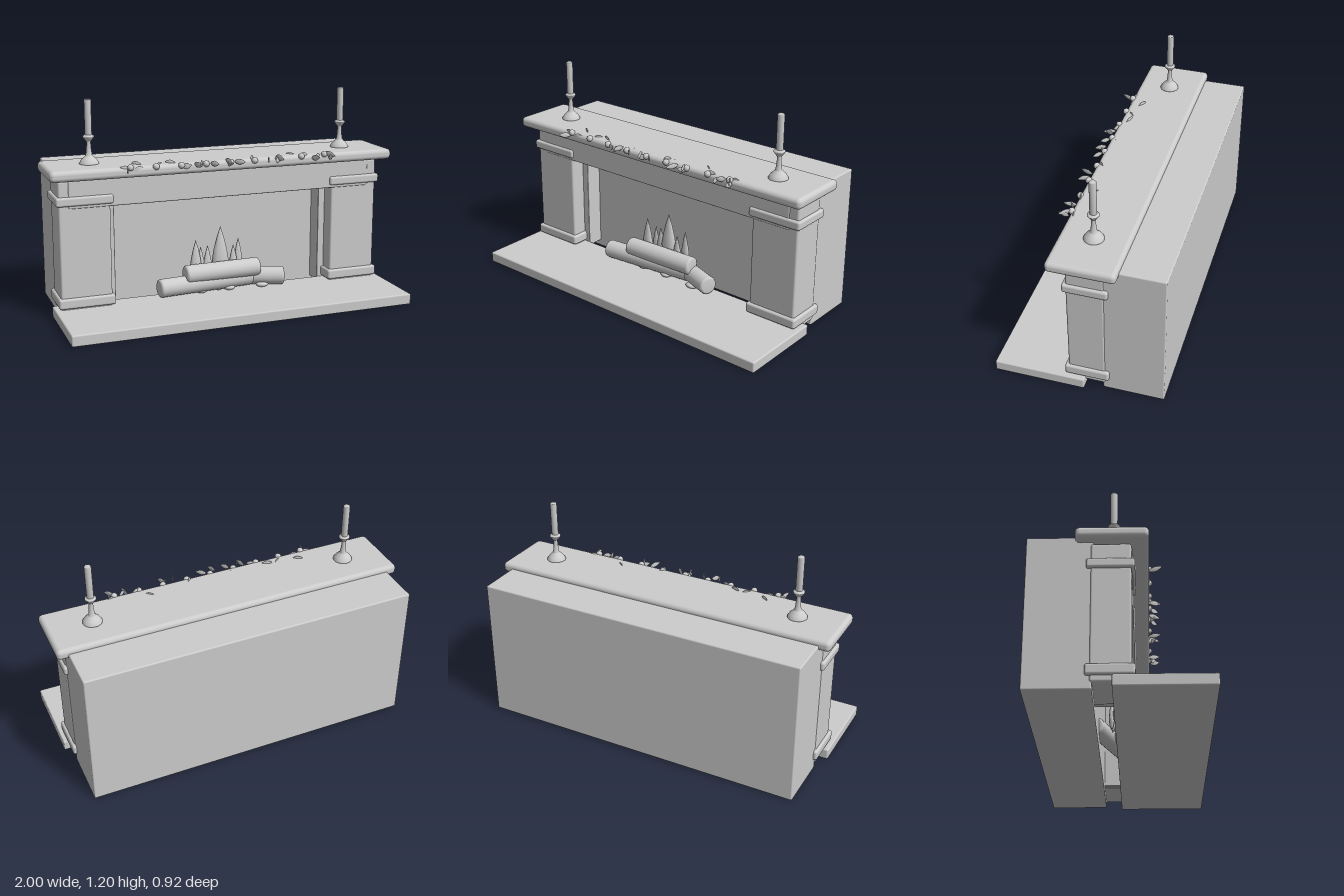
import * as THREE from 'three';
import { RoundedBoxGeometry } from 'three/addons/geometries/RoundedBoxGeometry.js';

export function createModel() {
  const group = new THREE.Group();
  const stone = new THREE.MeshStandardMaterial({ color: 0xcccccc });
  stone.name = 'light grey';

  const add = (name, geometry, x = 0, y = 0, z = 0) => {
    const mesh = new THREE.Mesh(geometry, stone);
    mesh.name = name;
    mesh.position.set(x, y, z);
    group.add(mesh);
    return mesh;
  };
  // Rounded box from its minimum and maximum corners
  const block = (name, [x0, y0, z0], [x1, y1, z1], r) =>
    add(name, new RoundedBoxGeometry(x1 - x0, y1 - y0, z1 - z0, 4, r),
      (x0 + x1) / 2, (y0 + y1) / 2, (z0 + z1) / 2);
  const lathe = (points, segments) =>
    new THREE.LatheGeometry(points.map(([r, y]) => new THREE.Vector2(r, y)), segments);

  // Masonry
  block('hearth', [-0.98, 0, -0.035], [0.98, 0.062, 0.462], 0.008);
  block('chimneyBlock', [-0.94, 0, -0.462], [0.94, 0.816, -0.13], 0.008);
  block('lintel', [-0.89, 0.622, -0.13], [0.89, 0.79, 0.062], 0.008);
  block('mantelShelf', [-1, 0.785, -0.22], [1, 0.845, 0.145], 0.024);

  // Candlestick outline, and the candle it holds
  const stickProfile = [[0, 0.84], [0.054, 0.84], [0.053, 0.85], [0.042, 0.868], [0.024, 0.885],
    [0.018, 0.892], [0.014, 0.92], [0.011, 0.965], [0.016, 0.97], [0.031, 0.99],
    [0.031, 0.996], [0.02, 1.003], [0, 1.003]];

  for (const s of [-1, 1]) {
    const side = s > 0 ? 'left' : 'right';
    const pair = (name, a, b, z0, z1, y0, y1, r) =>
      block(side + name, [Math.min(s * a, s * b), y0, z0], [Math.max(s * a, s * b), y1, z1], r);
    pair('Pillar', 0.66, 0.945, -0.143, 0.058, 0.036, 0.776, 0.012);
    pair('Capital', 0.645, 0.96, -0.165, 0.075, 0.638, 0.689, 0.013);
    pair('Plinth', 0.645, 0.96, -0.165, 0.075, 0.068, 0.126, 0.013);
    pair('Jamb', 0.62, 0.68, -0.14, -0.03, 0.04, 0.64, 0.004);
    add(side + 'Candlestick', lathe(stickProfile, 28), s * 0.75, 0, -0.035);
    add(side + 'Candle', lathe([[0, 0.995], [0.019, 0.995], [0.019, 1.19], [0.015, 1.195], [0, 1.195]], 24),
      s * 0.75, 0, -0.035);
  }

  // Logs, given by length, centre and yaw
  const log = (name, length, r, x, y, z, yaw) => {
    const h = length / 2;
    const geometry = lathe([[0, -h], [r - 0.012, -h], [r - 0.003, -h + 0.005], [r, -h + 0.014],
      [r, h - 0.014], [r - 0.003, h - 0.005], [r - 0.012, h], [0, h]], 24);
    geometry.rotateZ(-Math.PI / 2);
    add(name, geometry, x, y, z).rotation.y = yaw;
  };
  log('leftLowerLog', 0.58, 0.052, 0.1, 0.118, -0.055, -0.35);
  log('rightLowerLog', 0.58, 0.052, -0.1, 0.118, 0.01, 0.1);
  log('upperLog', 0.455, 0.053, -0.003, 0.178, 0.015, 0.04);

  // Flames: tapering, flattened tongues
  const flameProfile = [[0, 0], [0.6, 0.08], [0.95, 0.25], [1, 0.35], [0.8, 0.55], [0.42, 0.8], [0, 1]];
  const flames = [[-0.145, 0.36, 0.035, 0.01], [-0.065, 0.315, 0.028, -0.015], [0.008, 0.425, 0.05, 0],
    [0.082, 0.315, 0.028, 0.015], [0.122, 0.345, 0.028, -0.01], [-0.105, 0.31, 0.025, -0.02]];
  for (const [x, top, r, dz] of flames) {
    add('flame', lathe(flameProfile, 10), x, 0.12, -0.045 + dz).scale.set(r, top - 0.12, r * 0.6);
  }

  // Embers
  for (const [x, z, r] of [[-0.13, 0.02, 0.034], [-0.02, 0, 0.027], [0.04, 0.02, 0.034], [0.24, 0.03, 0.038]]) {
    add('ember', new THREE.SphereGeometry(1, 16, 10), x, 0.075, z).scale.set(r, 0.016, r * 0.8);
  }

  // Garland berries along the shelf edge
  for (let i = -4; i <= 4; i++) {
    add('berry', new THREE.SphereGeometry(0.018, 16, 12), i * 0.142, 0.834 + 0.001 * i * i * 0.5, 0.143);
  }

  // Garland leaves: upright thin blades, placed by x, z of both ends
  const leafProfile = [[0, -0.5], [0.3, -0.36], [0.5, -0.1], [0.45, 0.12], [0.22, 0.36], [0, 0.5]];
  const leaves = [[-0.58, 0.14, -0.605, 0.215], [-0.57, 0.14, -0.63, 0.13], [-0.54, 0.055, -0.49, 0.09],
    [-0.55, 0.145, -0.49, 0.135], [-0.42, 0.12, -0.37, 0.08], [-0.36, 0.085, -0.3, 0.11],
    [-0.28, 0.14, -0.23, 0.16], [-0.21, 0.14, -0.185, 0.21], [-0.165, 0.145, -0.195, 0.2],
    [-0.14, 0.13, -0.095, 0.1], [-0.12, 0.15, -0.085, 0.195], [-0.03, 0.14, -0.01, 0.205],
    [0.0, 0.14, -0.03, 0.18], [0.02, 0.15, 0.07, 0.19], [0.12, 0.135, 0.15, 0.105],
    [0.16, 0.12, 0.19, 0.095], [0.225, 0.14, 0.2, 0.215], [0.27, 0.14, 0.295, 0.205],
    [0.29, 0.15, 0.25, 0.185], [0.36, 0.06, 0.41, 0.1], [0.42, 0.14, 0.47, 0.13],
    [0.49, 0.14, 0.51, 0.21], [0.54, 0.14, 0.5, 0.17], [0.57, 0.14, 0.61, 0.205],
    [0.59, 0.15, 0.59, 0.21], [0.57, 0.13, 0.62, 0.12]];
  leaves.forEach(([x0, z0, x1, z1], i) => {
    const geometry = lathe(leafProfile, 8);
    geometry.rotateX(Math.PI / 2);
    const leaf = add('leaf', geometry, (x0 + x1) / 2, 0.838 + 0.007 * ((i % 3) - 1), (z0 + z1) / 2);
    leaf.scale.set(0.008, 0.032, Math.hypot(x1 - x0, z1 - z0));
    leaf.rotation.set(0.2 * ((i % 3) - 1), Math.atan2(x1 - x0, z1 - z0), 0, 'YXZ');
  });

  return group;
}
